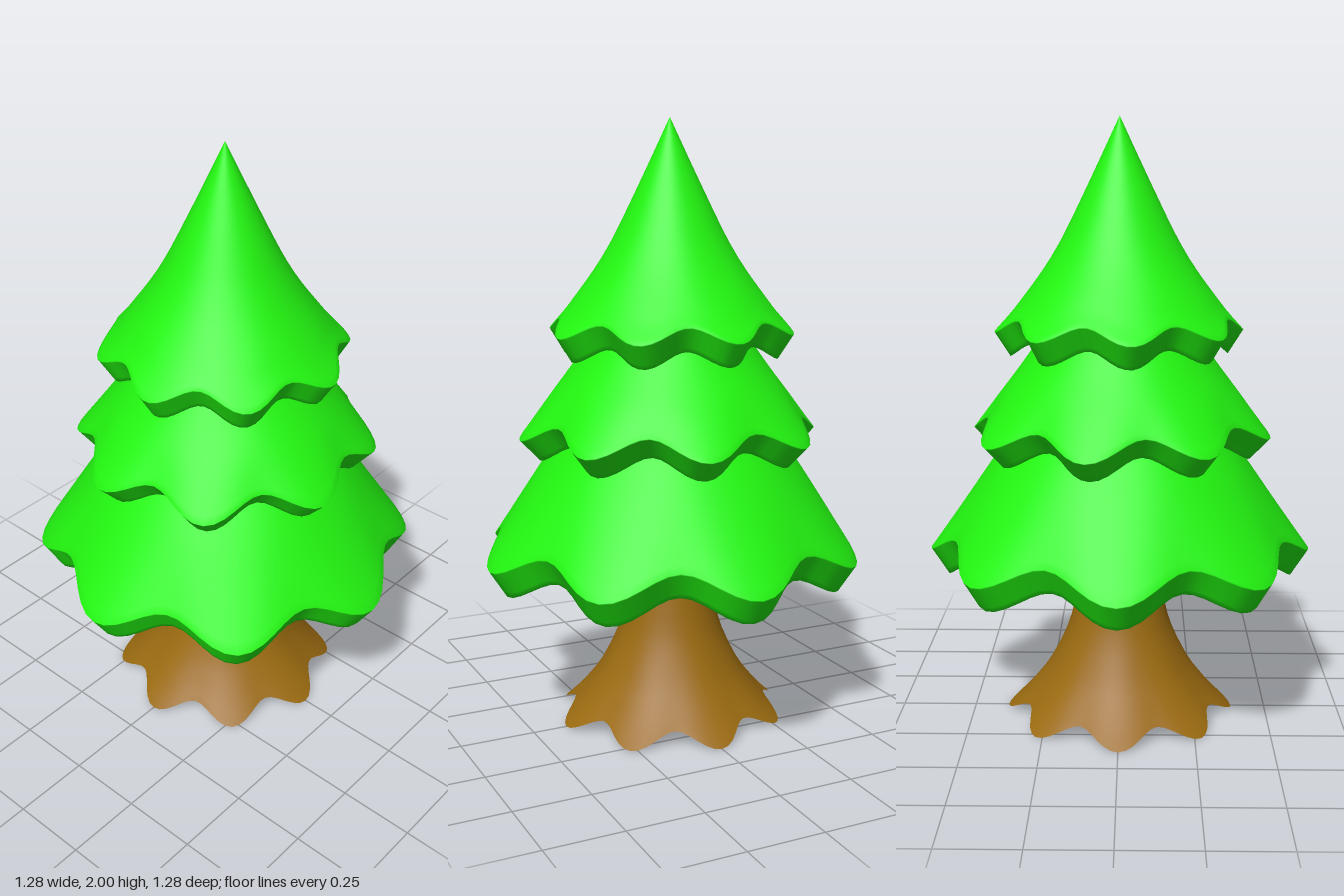
import * as THREE from 'three';

const SEGMENTS = 96;
const LOBES = 8;

const green = new THREE.MeshStandardMaterial({ color: 0x22f510, side: THREE.DoubleSide });
const brown = new THREE.MeshStandardMaterial({ color: 0x9a6a10, side: THREE.DoubleSide });

// Each profile point is [radius, height, waviness]; a part's sections are smooth
// curves that meet at sharp corners.
function sampleProfile(sections) {
  const rings = [];
  sections.forEach((points, i) => {
    const curve = new THREE.CatmullRomCurve3(points.map(([r, y, w = 0]) => new THREE.Vector3(r, y, w)));
    const samples = curve.getPoints(points.length > 2 ? 20 : 6);
    rings.push(...(i ? samples.slice(1) : samples));
  });
  return rings;
}

// Revolves the profile, swelling and drooping it at each of the eight lobes.
function wavyRevolve(sections, { turn, swell, droop }) {
  const rings = sampleProfile(sections);
  const positions = [];
  const indices = [];
  rings.forEach(({ x: r, y, z: w }, i) => {
    for (let j = 0; j < SEGMENTS; j++) {
      const angle = (j / SEGMENTS) * Math.PI * 2;
      const lobe = w * Math.cos(LOBES * (angle - turn));
      const radius = Math.max(0, r) * (1 + swell * lobe);
      positions.push(Math.cos(angle) * radius, y - droop * lobe, Math.sin(angle) * radius);
      if (i === rings.length - 1) continue;
      const next = (j + 1) % SEGMENTS;
      const a = i * SEGMENTS + j, b = a + SEGMENTS;
      const c = i * SEGMENTS + next, d = c + SEGMENTS;
      indices.push(a, c, b, c, d, b);
    }
  });
  const geometry = new THREE.BufferGeometry();
  geometry.setAttribute('position', new THREE.Float32BufferAttribute(positions, 3));
  geometry.setIndex(indices);
  geometry.computeVertexNormals();
  return geometry;
}

// Foliage tiers: outer slope, slanted lip, hollow underside
const tiers = [
  {
    name: 'lowerFoliage', turn: 0, swell: 0.058, droop: 0.04,
    sections: [
      [[0.14, 1.25], [0.30, 1.05], [0.41, 0.90, 0.25], [0.515, 0.745, 0.65], [0.605, 0.61, 1]],
      [[0.605, 0.61, 1], [0.55, 0.52, 1]],
      [[0.55, 0.52, 1], [0.45, 0.63, 0.7], [0.31, 0.83, 0.2], [0.06, 1.1]],
    ],
  },
  {
    name: 'middleFoliage', turn: THREE.MathUtils.degToRad(11.5), swell: 0.068, droop: 0.032,
    sections: [
      [[0.10, 1.52], [0.22, 1.35], [0.31, 1.22, 0.2], [0.40, 1.10, 0.65], [0.472, 1.0, 1]],
      [[0.472, 1.0, 1], [0.41, 0.93, 1]],
      [[0.41, 0.93, 1], [0.34, 1.0, 0.6], [0.24, 1.09]],
    ],
  },
  {
    name: 'upperFoliage', turn: THREE.MathUtils.degToRad(-6), swell: 0.06, droop: 0.025,
    sections: [
      [[0, 2], [0.095, 1.8], [0.195, 1.6, 0.1], [0.325, 1.41, 0.6], [0.388, 1.335, 1]],
      [[0.388, 1.335, 1], [0.34, 1.255, 1]],
      [[0.34, 1.255, 1], [0.27, 1.32, 0.6], [0.17, 1.4]],
    ],
  },
];

// Flared trunk, open underneath, with a scalloped root edge
const trunk = {
  name: 'trunk', turn: 0, swell: 0.085, droop: 0.025,
  sections: [
    [[0.085, 1.05], [0.11, 0.7], [0.128, 0.52], [0.165, 0.33], [0.22, 0.2, 0.15], [0.295, 0.09, 0.6], [0.355, 0.025, 1]],
  ],
};

export function createModel() {
  const tree = new THREE.Group();
  tree.name = 'tree';
  const addPart = (part, material) => {
    const mesh = new THREE.Mesh(wavyRevolve(part.sections, part), material);
    mesh.name = part.name;
    tree.add(mesh);
  };
  addPart(trunk, brown);
  tiers.forEach((tier) => addPart(tier, green));
  return tree;
}
